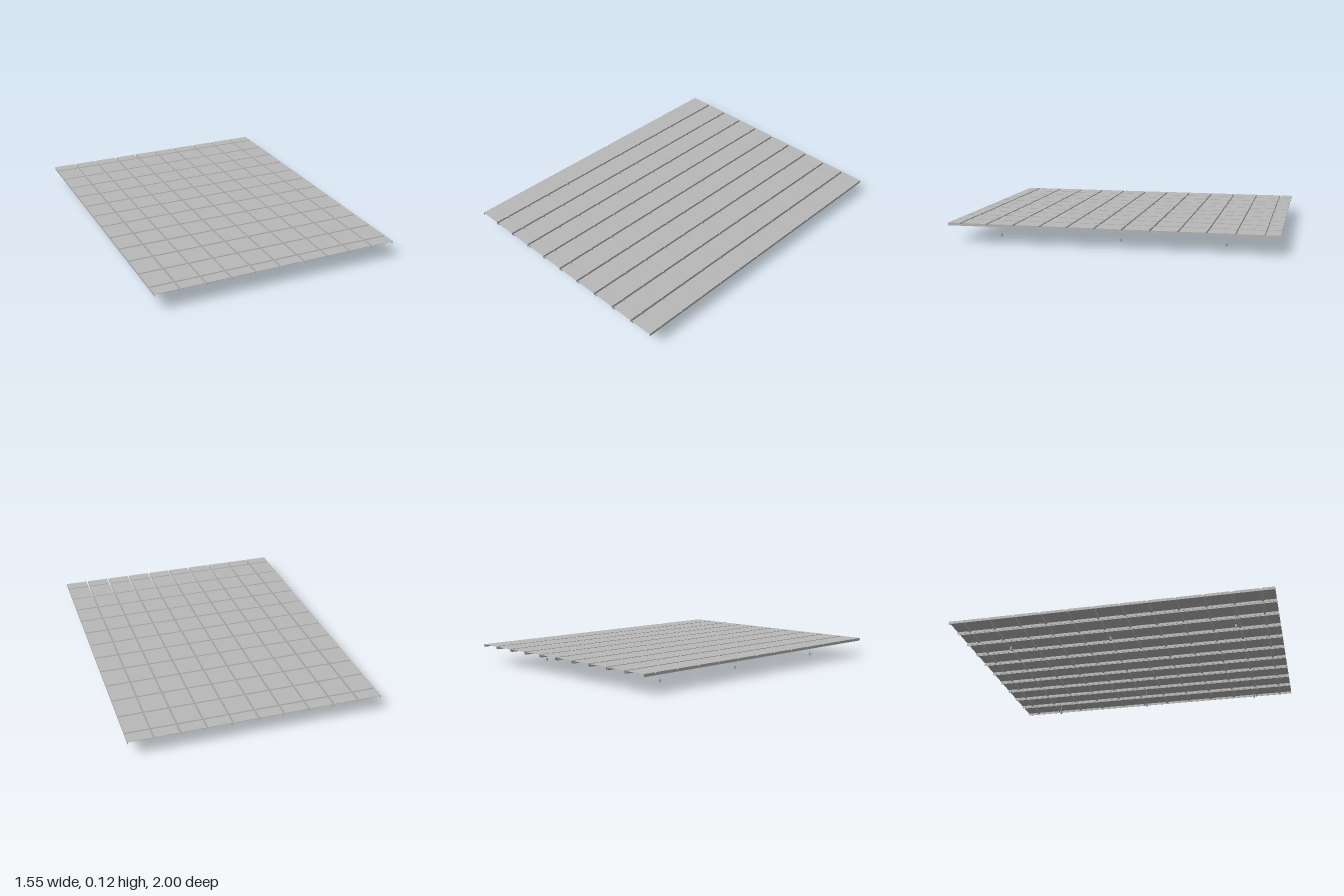
import * as THREE from 'three';

const TOP = 0.12, SHEET = 0.002;
const COLUMNS = 10, PLANK_W = 0.1435, PITCH = 0.1558;
const JOINTS = Array.from({ length: 12 }, (_, i) => (i - 5.5) / 6);

// Line along z with a notch at every joint; returns [z, y] pairs
function notchedLine(y, depth, half) {
  const pts = [[-1, y]];
  for (const z of JOINTS) {
    pts.push([z - half, y], [z - half * 0.6, y - depth], [z + half * 0.6, y - depth], [z + half, y]);
  }
  pts.push([1, y]);
  return pts;
}

// Extrudes a closed z/y outline sideways, centred on x = 0
function extrudeAcross(points, width) {
  const shape = new THREE.Shape(points.map(([z, y]) => new THREE.Vector2(z, y)));
  const geo = new THREE.ExtrudeGeometry(shape, { depth: width, bevelEnabled: false });
  return geo.translate(0, 0, -width / 2).rotateY(-Math.PI / 2);
}

export function createModel() {
  const model = new THREE.Group();
  model.name = 'suspendedPanelCeiling';

  const metal = new THREE.MeshStandardMaterial({ color: 0xb8b8b8 });
  metal.name = 'grey metal';

  const add = (parent, geo, name, x = 0, y = 0, z = 0) => {
    const mesh = new THREE.Mesh(geo, metal);
    mesh.name = name;
    mesh.position.set(x, y, z);
    parent.add(mesh);
  };

  // Thin sheet folded down into a groove at each cross joint
  const sheetGeo = extrudeAcross([
    ...notchedLine(TOP - SHEET, 0.009, 0.008),
    ...notchedLine(TOP, 0.009, 0.006).reverse(),
  ], PLANK_W);

  // Turned-down side flange, nicked at the joints
  const flangeGeo = extrudeAcross([
    [-1, 0.103], [1, 0.103],
    ...notchedLine(TOP, 0.006, 0.006).reverse(),
  ], SHEET);

  for (let i = 0; i < COLUMNS; i++) {
    const plank = new THREE.Group();
    plank.name = 'plank';
    plank.position.x = (i - (COLUMNS - 1) / 2) * PITCH;
    add(plank, sheetGeo, 'plankSheet');
    for (const s of [-1, 1]) add(plank, flangeGeo, 'sideFlange', s * (PLANK_W - SHEET) / 2);
    model.add(plank);
  }

  // Small pendants hanging on thin wires
  const wireGeo = new THREE.CylinderGeometry(0.0008, 0.0008, 0.098, 6);
  const pendantGeo = new THREE.CylinderGeometry(0.008, 0.006, 0.02, 12);
  for (const x of [-0.543, 0.543]) {
    for (const z of [0.745, -0.025, -0.67]) {
      const pendant = new THREE.Group();
      pendant.name = 'pendant';
      pendant.position.set(x, 0, z);
      add(pendant, wireGeo, 'pendantWire', 0, 0.069);
      add(pendant, pendantGeo, 'pendantBody', 0, 0.01);
      model.add(pendant);
    }
  }

  return model;
}
